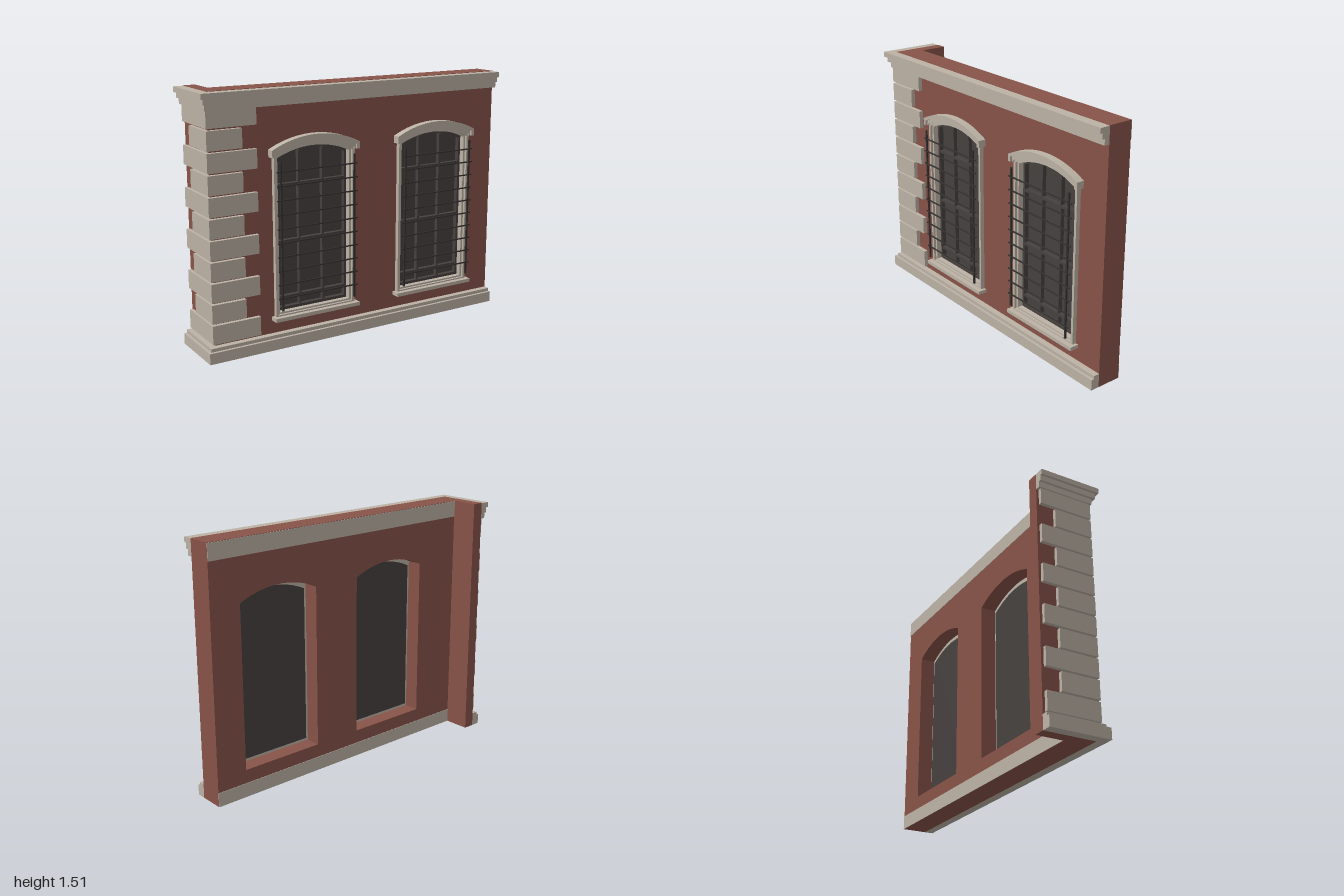
import * as THREE from 'three';

const mat = (name, color) => Object.assign(new THREE.MeshStandardMaterial({ color }), { name });

export function createModel() {
  const brick = mat('brick', 0x885348);
  const stone = mat('stone', 0xbcb2a5);
  const glass = mat('darkGlass', 0x46413f);
  const iron = mat('iron', 0x353131);

  const root = new THREE.Group();
  root.name = 'facadeCorner';
  const ARC_Y = 0.615; // shared centre height of all window arches

  const add = (parent, name, geo, m) => {
    const mesh = new THREE.Mesh(geo, m);
    mesh.name = name;
    parent.add(mesh);
    return mesh;
  };
  // Box given by its minimum and maximum on each axis
  const box = (parent, name, m, x0, x1, y0, y1, z0, z1) => {
    const mesh = add(parent, name, new THREE.BoxGeometry(x1 - x0, y1 - y0, z1 - z0), m);
    mesh.position.set((x0 + x1) / 2, (y0 + y1) / 2, (z0 + z1) / 2);
    return mesh;
  };
  // Closed outline with a segmental arch on top
  const archOutline = (path, cx, half, bottom, r) => {
    const a = Math.acos(half / r);
    path.moveTo(cx - half, bottom);
    path.lineTo(cx + half, bottom);
    path.absarc(cx, ARC_Y, r, a, Math.PI - a, false);
    path.closePath();
    return path;
  };
  const extrude = (parent, name, m, shape, z0, z1) => {
    const geo = new THREE.ExtrudeGeometry(shape, { depth: z1 - z0, bevelEnabled: false, curveSegments: 16 });
    geo.translate(0, 0, z0);
    return add(parent, name, geo, m);
  };
  const archRing = (outer, inner) => {
    const s = archOutline(new THREE.Shape(), 0, ...outer);
    s.holes.push(archOutline(new THREE.Path(), 0, ...inner));
    return s;
  };
  // Arched band with short vertical drops at both ends
  const hoodShape = (half, r, halfIn, rIn, bottom) => {
    const a = Math.acos(half / r), b = Math.acos(halfIn / rIn);
    const s = new THREE.Shape();
    s.moveTo(halfIn, bottom);
    s.lineTo(half, bottom);
    s.absarc(0, ARC_Y, r, a, Math.PI - a, false);
    s.lineTo(-half, bottom);
    s.lineTo(-halfIn, bottom);
    s.absarc(0, ARC_Y, rIn, Math.PI - b, b, true);
    s.closePath();
    return s;
  };

  // Brick walls
  const windowXs = [-0.3, 0.542];
  const wall = new THREE.Shape();
  wall.moveTo(-0.94, 0);
  wall.lineTo(1, 0);
  wall.lineTo(1, 1.51);
  wall.lineTo(-0.94, 1.51);
  wall.closePath();
  for (const x of windowXs) wall.holes.push(archOutline(new THREE.Path(), x, 0.265, 0.167, 0.597));
  extrude(root, 'mainWall', brick, wall, -0.025, 0.125);
  box(root, 'returnWall', brick, -0.94, -0.87, 0, 1.51, -0.19, -0.025);

  // Stone courses wrapping the corner: bottom, top, front z, outer x
  const course = (name, y0, y1, z, x) => {
    box(root, name + 'Front', stone, x, 1, y0, y1, 0.125, z);
    box(root, name + 'Side', stone, x, -0.94, y0, y1, -0.19, 0.125);
  };
  course('plinth', 0, 0.065, 0.18, -0.997);
  course('plinthCap', 0.065, 0.085, 0.163, -0.98);
  course('corniceLower', 1.41, 1.445, 0.157, -0.97);
  course('corniceMiddle', 1.445, 1.477, 0.173, -0.985);
  course('corniceUpper', 1.477, 1.508, 0.188, -1);
  box(root, 'backBaseBand', stone, -0.87, 1, 0, 0.085, -0.028, -0.025);
  box(root, 'backTopBand', stone, -0.87, 1, 1.41, 1.508, -0.028, -0.025);

  // Corner quoins, alternately long and short
  for (let i = 0; i < 11; i++) {
    const y = 0.1 + 0.1215 * i, top = Math.min(y + 0.11, 1.41);
    const long = i % 2 === 0;
    box(root, 'quoinFront', stone, -0.962, long ? -0.665 : -0.752, y, top, 0.125, 0.15);
    box(root, 'quoinSide', stone, -0.962, -0.94, y, top, long ? -0.175 : -0.085, 0.125);
  }

  const makeWindow = (x) => {
    const w = new THREE.Group();
    w.name = 'window';
    w.position.x = x;
    root.add(w);

    // Stone surround, sill and hood
    extrude(w, 'outerFrame', stone, archRing([0.264, 0.168, 0.596], [0.248, 0.195, 0.562]), 0.07, 0.15);
    extrude(w, 'innerFrame', stone, archRing([0.248, 0.195, 0.562], [0.235, 0.205, 0.551]), 0.07, 0.135);
    box(w, 'sill', stone, -0.283, 0.283, 0.165, 0.187, 0.125, 0.18);
    extrude(w, 'hoodLower', stone, hoodShape(0.272, 0.6, 0.255, 0.578, 1.123), 0.125, 0.16);
    extrude(w, 'hoodUpper', stone, hoodShape(0.285, 0.62, 0.265, 0.6, 1.123), 0.125, 0.173);

    // Glazing and sash bars
    extrude(w, 'pane', glass, archOutline(new THREE.Shape(), 0, 0.247, 0.186, 0.567), 0.064, 0.073);
    extrude(w, 'sashFrame', glass, archRing([0.235, 0.205, 0.551], [0.22, 0.222, 0.537]), 0.073, 0.102);
    for (const s of [-1, 1]) box(w, 'sashUpright', glass, s * 0.078 - 0.006, s * 0.078 + 0.006, 0.215, 1.14, 0.073, 0.098);
    for (const y of [0.28, 0.615, 0.947]) box(w, 'sashRail', glass, -0.225, 0.225, y - 0.008, y + 0.008, 0.073, 0.1);

    // Iron grille
    for (const s of [-1, 1]) box(w, 'grilleUpright', iron, s * 0.24 - 0.005, s * 0.24 + 0.005, 0.23, 1.1, 0.18, 0.19);
    for (let i = 0; i < 10; i++) {
      const y = 0.305 + 0.082 * i;
      box(w, 'grilleBar', iron, -0.264, 0.264, y - 0.0035, y + 0.0035, 0.181, 0.188);
    }
  };
  windowXs.forEach(makeWindow);

  return root;
}
